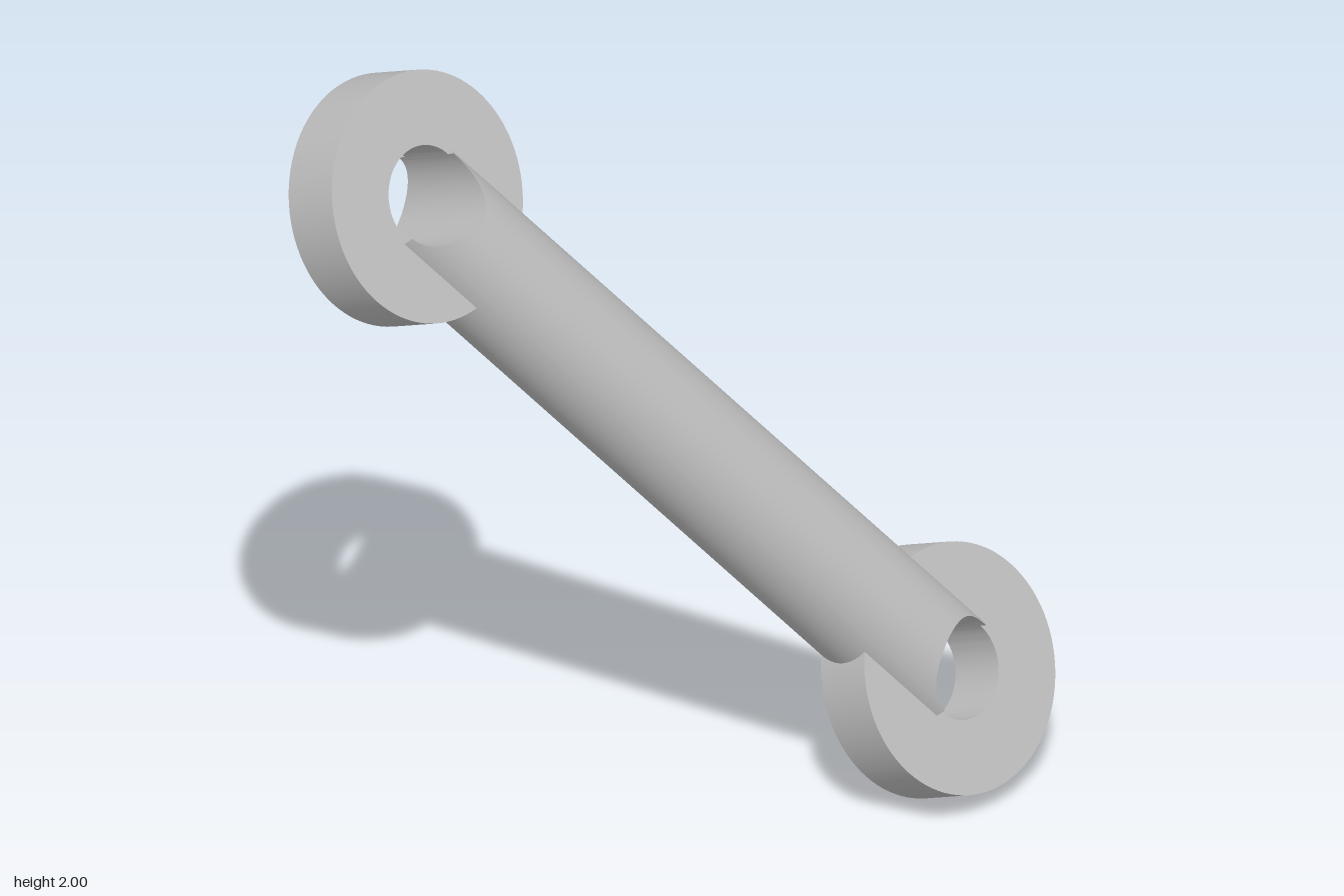
import * as THREE from 'three';
import { toCreasedNormals } from 'three/addons/utils/BufferGeometryUtils.js';

const RING_R = 0.288, HOLE_R = 0.117, HALF_T = 0.074, ROD_R = 0.15;

// Flat ring with its axis along x
function ringGeometry() {
  const profile = [
    [HOLE_R, -HALF_T], [RING_R, -HALF_T], [RING_R, HALF_T], [HOLE_R, HALF_T], [HOLE_R, -HALF_T],
  ].map(([r, y]) => new THREE.Vector2(r, y));
  const g = new THREE.LatheGeometry(profile, 96);
  g.rotateZ(-Math.PI / 2);
  return toCreasedNormals(g, 0.6);
}

// Round rod along y, cut flat at the ring centres and drilled across by the holes
function rodGeometry(half) {
  // z across the rod, and how far the hole eats into its end at that z
  const cuts = [];
  const prong = Math.asin(HOLE_R / ROD_R), prongSteps = 8, holeSteps = 40;
  for (let i = 0; i < prongSteps; i++) {
    const t = Math.PI / 2 + (prong - Math.PI / 2) * (i / prongSteps);
    cuts.push([-ROD_R * Math.sin(t), 0]);
  }
  for (let i = 0; i <= holeSteps; i++) {
    const t = -Math.PI / 2 + Math.PI * (i / holeSteps);
    cuts.push([HOLE_R * Math.sin(t), HOLE_R * Math.cos(t)]);
  }
  for (let i = prongSteps - 1; i >= 0; i--) cuts.push([-cuts[i][0], 0]);

  const pos = [];
  const quad = (a, b, c, d) => pos.push(...a, ...b, ...c, ...a, ...c, ...d);
  const point = ([z, s], sx, sy) =>
    [sx * Math.sqrt(Math.max(0, ROD_R * ROD_R - z * z)), sy * (half - s), z];
  for (let i = 0; i < cuts.length - 1; i++) {
    const p = cuts[i], q = cuts[i + 1];
    // both long sides
    quad(point(p, 1, -1), point(p, 1, 1), point(q, 1, 1), point(q, 1, -1));
    quad(point(q, -1, -1), point(q, -1, 1), point(p, -1, 1), point(p, -1, -1));
    // both drilled ends
    quad(point(p, -1, 1), point(q, -1, 1), point(q, 1, 1), point(p, 1, 1));
    quad(point(p, 1, -1), point(q, 1, -1), point(q, -1, -1), point(p, -1, -1));
  }
  const g = new THREE.BufferGeometry();
  g.setAttribute('position', new THREE.Float32BufferAttribute(pos, 3));
  return toCreasedNormals(g, 0.6);
}

export function createModel() {
  const steel = new THREE.MeshStandardMaterial({ color: 0xc0c0c0 });
  steel.name = 'light grey';

  const model = new THREE.Group();
  model.name = 'connectingRod';
  const link = new THREE.Group();
  link.name = 'link';
  model.add(link);

  // Link frame: x is the hole axis, y runs from the lower to the upper ring
  const toUpper = new THREE.Vector3(-0.31, 0.707, 0.547);
  const half = toUpper.length();
  const along = toUpper.clone().normalize();
  const axis = new THREE.Vector3(along.y, -along.x, 0).normalize();
  const across = new THREE.Vector3().crossVectors(axis, along);
  link.quaternion.setFromRotationMatrix(new THREE.Matrix4().makeBasis(axis, along, across));
  link.position.y = 1;

  const rod = new THREE.Mesh(rodGeometry(half), steel);
  rod.name = 'rod';
  link.add(rod);

  const ringGeo = ringGeometry();
  for (const [name, side] of [['upperRing', 1], ['lowerRing', -1]]) {
    const ring = new THREE.Mesh(ringGeo, steel);
    ring.name = name;
    ring.position.y = side * half;
    link.add(ring);
  }
  return model;
}
